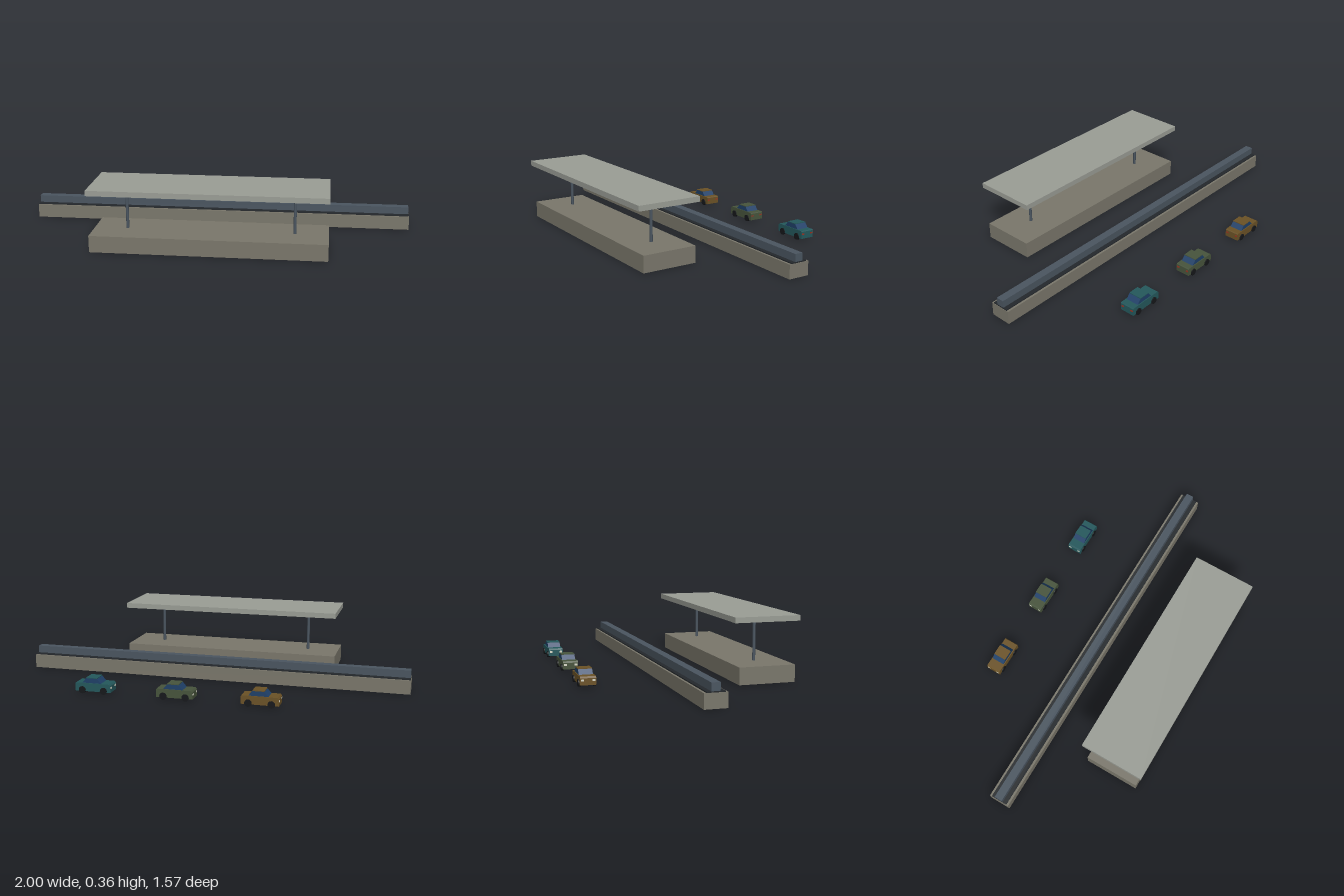
import * as THREE from 'three';

const mat = (color) => new THREE.MeshStandardMaterial({ color });
const concrete = mat(0x7a776b), steel = mat(0x4a5560), dark = mat(0x24282c), canopyGrey = mat(0x9a9d95);
const glass = mat(0x1f4068), tyre = mat(0x15171a), red = mat(0xa03020), white = mat(0xd8d8c8);

function add(parent, name, geometry, material, x, y, z) {
  const mesh = new THREE.Mesh(geometry, material);
  mesh.name = name;
  mesh.position.set(x, y, z);
  parent.add(mesh);
  return mesh;
}

// box given by its bottom and top heights
function slab(parent, name, length, y0, y1, width, material, x, z) {
  return add(parent, name, new THREE.BoxGeometry(length, y1 - y0, width), material, x, (y0 + y1) / 2, z);
}

// side outline extruded across the width, centred on z = 0
function profile(parent, name, points, width, material) {
  const shape = new THREE.Shape(points.map(([x, y]) => new THREE.Vector2(x, y)));
  const geometry = new THREE.ExtrudeGeometry(shape, { depth: width, bevelEnabled: false });
  geometry.translate(0, 0, -width / 2);
  return add(parent, name, geometry, material, 0, 0, 0);
}

// parked car, nose towards -x
function makeCar(color) {
  const car = new THREE.Group();
  car.name = 'car';
  const paint = mat(color);
  profile(car, 'body', [
    [-0.102, 0.013], [0.102, 0.013], [0.102, 0.054], [0.098, 0.059],
    [-0.094, 0.059], [-0.102, 0.05],
  ], 0.086, paint);
  profile(car, 'cabinGlass', [[-0.046, 0.059], [0.062, 0.059], [0.04, 0.085], [-0.024, 0.085]], 0.076, glass);
  slab(car, 'roof', 0.064, 0.085, 0.089, 0.076, paint, 0.008, 0);

  const wheel = new THREE.CylinderGeometry(0.02, 0.02, 0.014, 12).rotateX(Math.PI / 2);
  for (const side of [-1, 1]) {
    for (const x of [-0.062, 0.062]) add(car, 'wheel', wheel, tyre, x, 0.02, side * 0.041);
    slab(car, 'headlight', 0.003, 0.034, 0.044, 0.016, white, -0.102, side * 0.03);
    slab(car, 'tailLight', 0.003, 0.036, 0.044, 0.016, red, 0.102, side * 0.031);
  }
  return car;
}

export function createModel() {
  const model = new THREE.Group();
  model.name = 'trackStation';

  // everything is laid out along the track, then turned as one
  const site = new THREE.Group();
  site.name = 'site';
  site.rotation.y = -Math.PI / 6;
  model.add(site);

  // guideway: concrete beam, dark running strip, raised centre rail
  slab(site, 'guidewayBeam', 2.24, 0, 0.078, 0.121, concrete, -0.052, -0.091);
  slab(site, 'runningStrip', 2.236, 0.078, 0.084, 0.096, dark, -0.052, -0.091);
  slab(site, 'centreRail', 2.233, 0.084, 0.126, 0.046, steel, -0.052, -0.091);

  // platform with canopy on two posts
  const px = -0.055, pz = 0.375;
  slab(site, 'platform', 1.305, 0, 0.095, 0.32, concrete, px, pz);
  slab(site, 'canopy', 1.306, 0.33, 0.36, 0.371, canopyGrey, px, pz);
  const post = new THREE.CylinderGeometry(0.0085, 0.0085, 0.235, 10);
  for (const side of [-1, 1]) add(site, 'canopyPost', post, steel, px + side * 0.467, 0.2125, pz);

  // row of cars behind the track
  [0x6b5226, 0x47543c, 0x24585c].forEach((color, i) => {
    const car = makeCar(color);
    car.position.set(-0.428 + i * 0.466, 0, -0.555);
    site.add(car);
  });

  return model;
}
